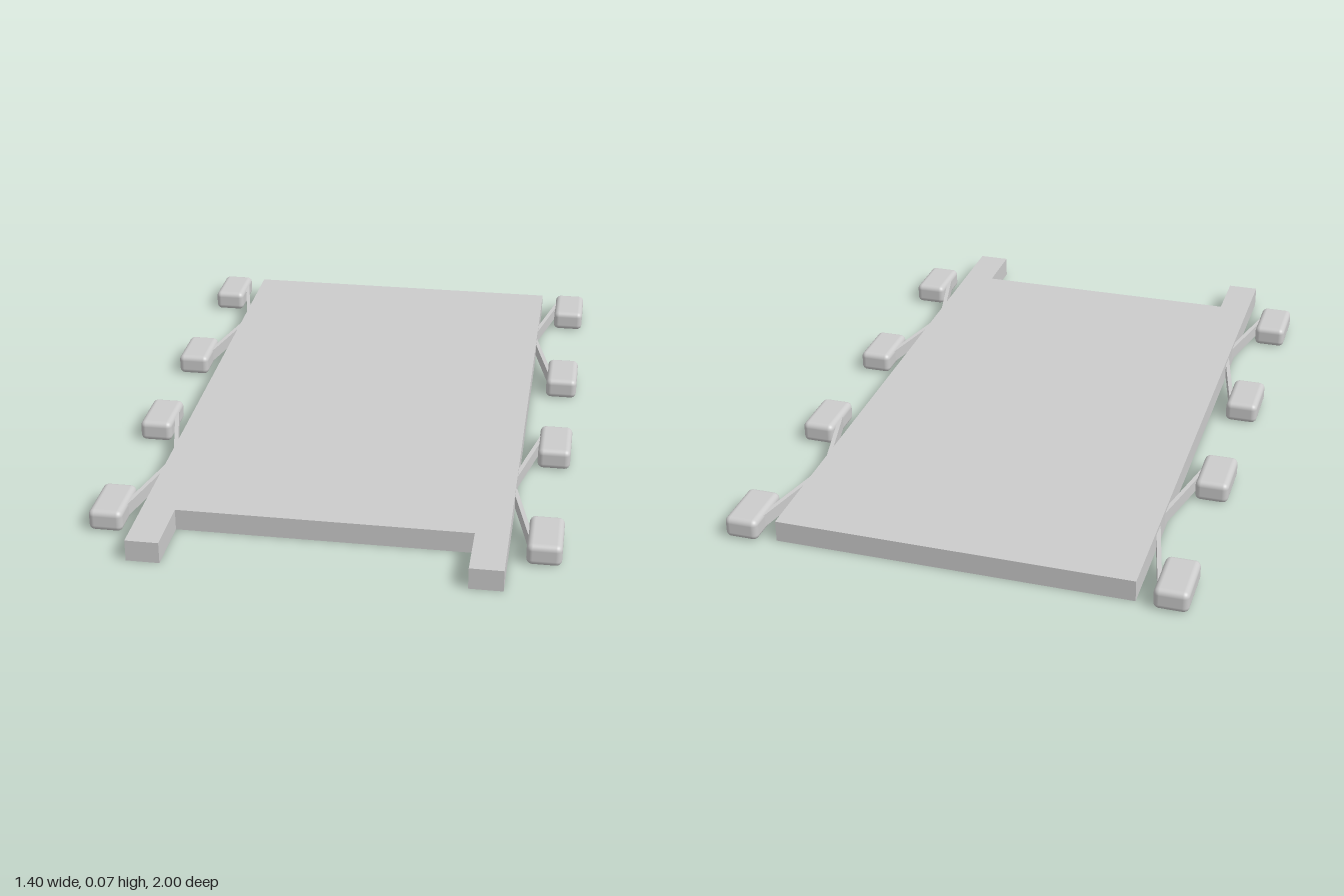
import * as THREE from 'three';
import { RoundedBoxGeometry } from 'three/addons/geometries/RoundedBoxGeometry.js';

const HEIGHT = 0.067;
const material = new THREE.MeshStandardMaterial({ color: 0xcccccc });

function addMesh(parent, name, geometry) {
  const mesh = new THREE.Mesh(geometry, material);
  mesh.name = name;
  parent.add(mesh);
  return mesh;
}

// Plan outline given as [x, z] points, extruded upwards from y to y + height
function slab(points, y, height) {
  const shape = new THREE.Shape(points.map(([x, z]) => new THREE.Vector2(x, -z)));
  const geometry = new THREE.ExtrudeGeometry(shape, { depth: height, bevelEnabled: false });
  return geometry.rotateX(-Math.PI / 2).translate(0, y, 0);
}

export function createModel() {
  const model = new THREE.Group();
  model.name = 'platform';

  // Flat deck with two prongs at the front
  const outline = [
    [-0.545, -0.975], [0.545, -0.975], [0.545, 1], [0.445, 1],
    [0.445, 0.81], [-0.445, 0.81], [-0.445, 1], [-0.545, 1],
  ];
  addMesh(model, 'deck', slab(outline, 0, HEIGHT));

  // Rounded pods in pairs, each held by a thin slanting strut
  const podGeometry = new RoundedBoxGeometry(0.103, HEIGHT, 0.183, 4, 0.018);
  const pairs = [
    { strutCentre: -0.63, pods: [-0.908, -0.325] },
    { strutCentre: 0.47, pods: [0.187, 0.765] },
  ];
  for (const side of [-1, 1]) {
    for (const { strutCentre, pods } of pairs) {
      pods.forEach((podZ, i) => {
        const dir = i === 0 ? -1 : 1;
        const outrigger = new THREE.Group();
        outrigger.name = 'outrigger';
        model.add(outrigger);

        addMesh(outrigger, 'pod', podGeometry)
          .position.set(side * 0.6485, HEIGHT / 2, podZ);

        // The strut runs from inside the deck edge to inside the pod
        const from = new THREE.Vector3(side * 0.535, 0.036, strutCentre + dir * 0.018);
        const to = new THREE.Vector3(side * 0.605, 0.036, strutCentre + dir * 0.311);
        const strut = addMesh(outrigger, 'strut',
          new THREE.BoxGeometry(0.013, 0.04, from.distanceTo(to)));
        strut.position.copy(from).lerp(to, 0.5);
        strut.rotation.y = Math.atan2(to.x - from.x, to.z - from.z);
      });
    }
  }
  return model;
}
